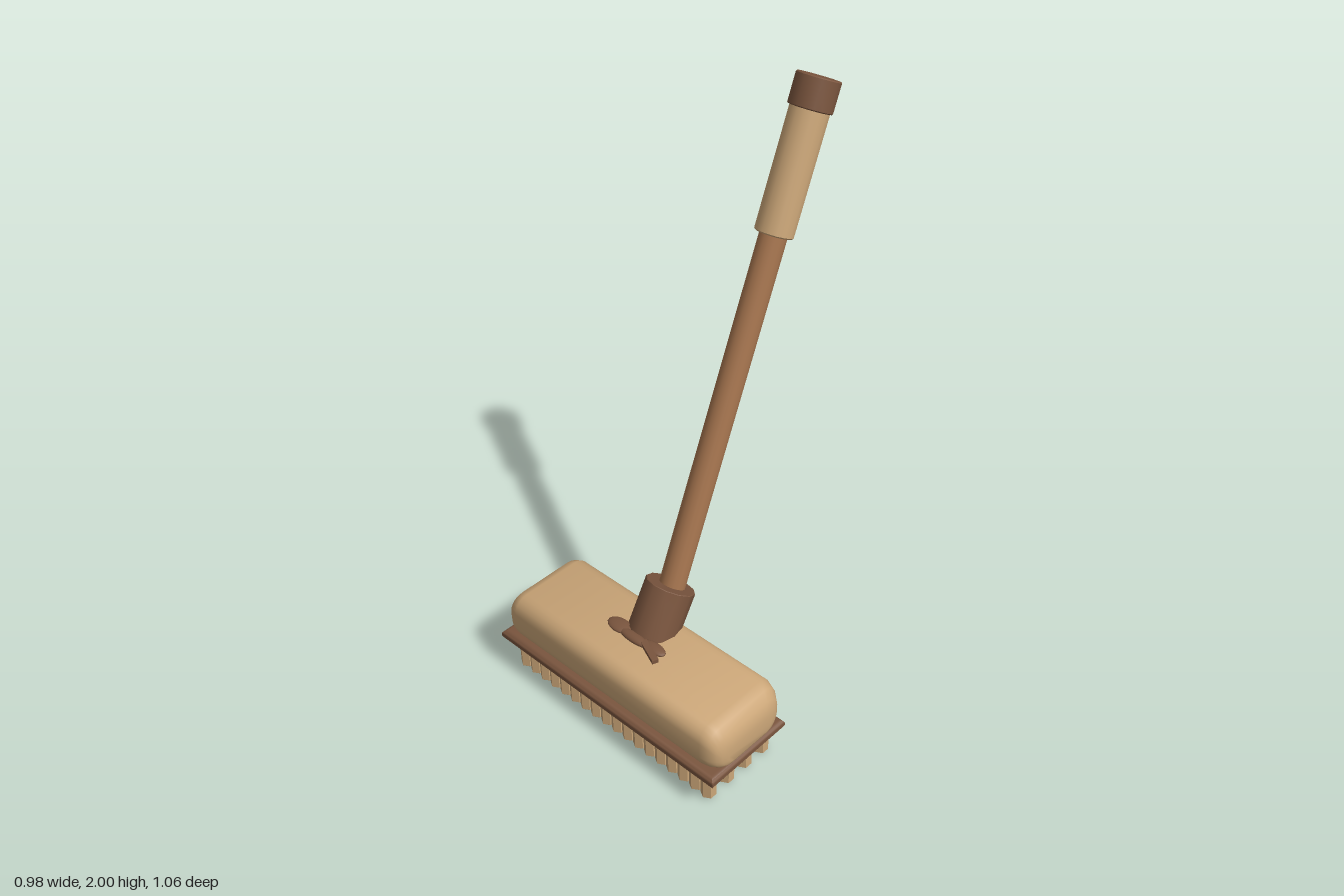
import * as THREE from 'three';
import { toCreasedNormals } from 'three/addons/utils/BufferGeometryUtils.js';

const paint = (color) => new THREE.MeshStandardMaterial({ color, roughness: 0.8 });
const tan = paint(0xcba678);
const dark = paint(0x7a553e);
const wood = paint(0xa6754f);

function add(parent, name, geometry, material, x = 0, y = 0, z = 0) {
  const mesh = new THREE.Mesh(geometry, material);
  mesh.name = name;
  mesh.position.set(x, y, z);
  parent.add(mesh);
  return mesh;
}

// Cylinder spanning y0..y1 with a small bevel on both rims
function rod(radius, y0, y1, bevel, sides) {
  const profile = [[0, y0], [radius - bevel, y0], [radius, y0 + bevel],
    [radius, y1 - bevel], [radius - bevel, y1], [0, y1]].map(([r, y]) => new THREE.Vector2(r, y));
  return toCreasedNormals(new THREE.LatheGeometry(profile, sides), 0.6);
}

// Rounded block swept along x; each section is [x, half depth, bottom, top, corner radius]
function sweptBlock(sections) {
  const steps = 5, n = 4 * (steps + 1);
  const positions = [], index = [];
  for (const [x, d, bottom, top, r] of sections) {
    for (let q = 0; q < 4; q++) {
      const cz = (q === 0 || q === 3 ? 1 : -1) * (d - r);
      const cy = q < 2 ? top - r : bottom + r;
      for (let s = 0; s <= steps; s++) {
        const a = (q + s / steps) * Math.PI / 2;
        positions.push(x, cy + r * Math.sin(a), cz + r * Math.cos(a));
      }
    }
  }
  const last = sections.length - 1;
  for (let i = 0; i < last; i++) {
    for (let j = 0; j < n; j++) {
      const a = i * n + j, b = i * n + (j + 1) % n;
      index.push(a, a + n, b, b, a + n, b + n);
    }
  }
  for (let j = 1; j < n - 1; j++) {
    index.push(0, j, j + 1);
    index.push(last * n, last * n + j + 1, last * n + j);
  }
  const geometry = new THREE.BufferGeometry();
  geometry.setAttribute('position', new THREE.Float32BufferAttribute(positions, 3));
  geometry.setIndex(index);
  return toCreasedNormals(geometry, 0.9);
}

// Rounded-corner plate with a rounded rim, lying flat and centred on the origin
function flatPlate(width, depth, height) {
  const b = height / 2, w = width / 2 - b, d = depth / 2 - b;
  const shape = new THREE.Shape([[-w, -d], [w, -d], [w, d], [-w, d]].map(([x, y]) => new THREE.Vector2(x, y)));
  const geometry = new THREE.ExtrudeGeometry(shape, {
    depth: 0.002, bevelEnabled: true, bevelThickness: b - 0.001, bevelSize: b, bevelSegments: 5,
  });
  geometry.translate(0, 0, -0.001).rotateX(-Math.PI / 2);
  return toCreasedNormals(geometry, 0.8);
}

export function createModel() {
  const model = new THREE.Group();
  model.name = 'scrubBrush';

  // Brush head: block with softened ends, sitting on a darker plate
  const half = [
    [0.42, 0.165, 0.14, 0.31, 0.055],
    [0.45, 0.158, 0.14, 0.298, 0.055],
    [0.472, 0.143, 0.145, 0.272, 0.05],
    [0.482, 0.125, 0.15, 0.25, 0.045],
    [0.486, 0.1, 0.16, 0.225, 0.03],
  ];
  const mirrored = half.map(([x, ...rest]) => [-x, ...rest]).reverse();
  add(model, 'headBlock', sweptBlock([...mirrored, ...half]), tan, 0, 0, 0.352);
  add(model, 'headPlate', flatPlate(0.98, 0.345, 0.04), dark, 0, 0.13, 0.36);

  // Bristle tufts: four rows of six-sided pegs
  const bristles = new THREE.Group();
  bristles.name = 'bristles';
  model.add(bristles);
  const tuft = rod(0.026, 0, 0.115, 0.006, 6);
  for (let row = 0; row < 4; row++) {
    for (let col = 0; col < 18; col++) {
      add(bristles, 'tuft', tuft, tan, -0.425 + col * 0.05, 0, 0.23 + row * 0.083);
    }
  }

  // Socket leaning back out of the head
  const socket = add(model, 'socket', rod(0.086, -0.2, 0, 0.002, 12), dark, 0, 0.435, 0.197);
  socket.rotation.x = -0.54;

  // Handle, measured downwards from its top end
  const handle = new THREE.Group();
  handle.name = 'handle';
  handle.position.set(0, 1.972, -0.465);
  handle.rotation.x = -0.402;
  model.add(handle);
  add(handle, 'shaft', rod(0.045, -1.75, -0.3, 0.002, 16), wood);
  add(handle, 'grip', rod(0.063, -0.48, -0.05, 0.004, 16), tan);
  add(handle, 'endCap', rod(0.071, -0.097, 0, 0.003, 16), dark);

  // Small tied bow in front of the socket
  const bow = new THREE.Group();
  bow.name = 'bow';
  bow.position.set(0, 0.32, 0.363);
  model.add(bow);
  const ball = new THREE.SphereGeometry(1, 16, 10);
  add(bow, 'leftLoop', ball, dark, 0.08, 0, 0).scale.set(0.05, 0.011, 0.024);
  add(bow, 'rightLoop', ball, dark, -0.075, 0, -0.002).scale.set(0.05, 0.011, 0.03);
  add(bow, 'knot', ball, dark, 0, 0, 0.008).scale.set(0.065, 0.013, 0.02);
  const tail = add(bow, 'tail', new THREE.BoxGeometry(0.1, 0.014, 0.022), dark, 0.083, 0.003, 0.022);
  tail.rotation.y = -0.4;

  return model;
}
